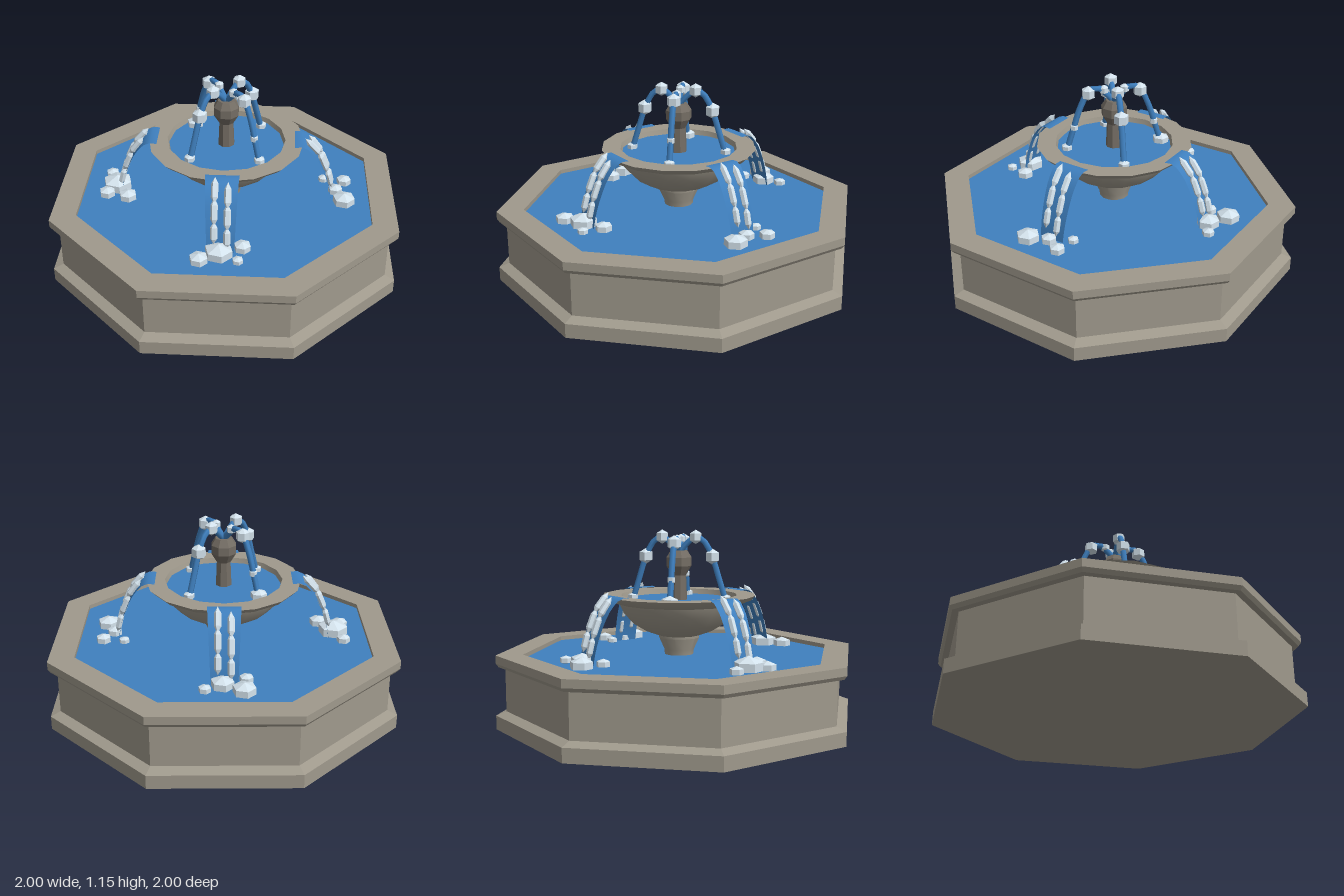
import * as THREE from 'three';
import { toCreasedNormals } from 'three/addons/utils/BufferGeometryUtils.js';

const stone = new THREE.MeshStandardMaterial({ color: 0x9f998c, flatShading: true });
const smoothStone = new THREE.MeshStandardMaterial({ color: 0x9f998c });
const darkStone = new THREE.MeshStandardMaterial({ color: 0x746d64, flatShading: true });
const water = new THREE.MeshStandardMaterial({ color: 0x3f80bf });
const sheetWater = new THREE.MeshStandardMaterial({ color: 0x3f80bf, side: THREE.DoubleSide });
const foam = new THREE.MeshStandardMaterial({ color: 0xd3e2ec, flatShading: true });

const OCT = 1 / Math.cos(Math.PI / 8); // apothem to corner radius

function add(parent, name, geometry, material) {
  const mesh = new THREE.Mesh(geometry, material);
  mesh.name = name;
  parent.add(mesh);
  return mesh;
}

function lathe(points, sides, scale = 1, start = 0) {
  const profile = points.map(([r, y]) => new THREE.Vector2(r * scale, y));
  return new THREE.LatheGeometry(profile, sides, start);
}

function blob(parent, name, r, x, y, z, flat = 1) {
  const mesh = add(parent, name, new THREE.SphereGeometry(r, 6, 3), foam);
  mesh.position.set(x, y, z);
  mesh.scale.y = flat;
  return mesh;
}

// Curve in the local plane: z is the distance outwards, y is up
function outwardCurve(points) {
  return new THREE.CatmullRomCurve3(points.map(([r, y]) => new THREE.Vector3(0, y, r)));
}

// Arched water jet with drops along it
function jet(angle, drops, splashSize) {
  const group = new THREE.Group();
  group.name = 'waterJet';
  const path = outwardCurve([
    [0, 1.01], [0.04, 1.06], [0.1, 1.105], [0.15, 1.08], [0.2, 0.985], [0.24, 0.86], [0.28, 0.73],
  ]);
  add(group, 'jetStream', new THREE.TubeGeometry(path, 14, 0.018, 6), water);
  for (const [r, y, size] of drops) blob(group, 'jetDrop', size, 0, y, r);
  blob(group, 'bowlSplash', splashSize, 0, 0.745, 0.28, 0.75);
  group.rotation.y = angle;
  return group;
}

// Sheet of water spilling from the bowl, with foam streaks on it
function cascade(angle) {
  const group = new THREE.Group();
  group.name = 'cascade';
  const path = outwardCurve([
    [0.4, 0.772], [0.455, 0.772], [0.52, 0.71], [0.575, 0.6], [0.61, 0.49], [0.625, 0.405],
  ]);
  const sheet = new THREE.PlaneGeometry(1, 1, 1, 12);
  const pos = sheet.attributes.position;
  for (let i = 0; i < pos.count; i++) {
    const t = 0.5 - pos.getY(i);
    const p = path.getPointAt(t);
    pos.setXYZ(i, pos.getX(i) * (0.19 - 0.04 * t), p.y, p.z);
  }
  sheet.computeVertexNormals();
  add(group, 'waterSheet', sheet, sheetWater);

  const up = new THREE.Vector3(0, 1, 0);
  for (const side of [-1, 1]) {
    for (const [t, length] of [[0.27, 0.075], [0.52, 0.08], [0.77, 0.065]]) {
      const at = t + side * 0.03;
      const p = path.getPointAt(at);
      const streak = blob(group, 'foamStreak', 0.023, side * 0.036, p.y + 0.008, p.z + 0.01);
      streak.scale.y = length / 0.023;
      streak.quaternion.setFromUnitVectors(up, path.getTangentAt(at));
    }
  }
  group.rotation.y = angle;
  return group;
}

export function createModel() {
  const model = new THREE.Group();
  model.name = 'fountain';

  // Octagonal basin with plinth and overhanging rim
  add(model, 'basin', lathe([
    [0, 0], [1, 0], [1, 0.082], [0.945, 0.105], [0.945, 0.365], [0.98, 0.366],
    [0.995, 0.388], [0.995, 0.435], [0.85, 0.435], [0.85, 0.39],
  ], 8, OCT, Math.PI / 8), stone);
  add(model, 'basinWater', lathe([[0.855, 0.41], [0, 0.41]], 8, OCT, Math.PI / 8), water);

  // Pedestal and bowl
  add(model, 'pedestal', toCreasedNormals(lathe([
    [0.085, 0.4], [0.09, 0.44], [0.122, 0.51], [0.122, 0.54],
  ], 12), 0.6), smoothStone);
  add(model, 'bowl', toCreasedNormals(lathe([
    [0, 0.522], [0.12, 0.524], [0.2, 0.552], [0.27, 0.595], [0.33, 0.66], [0.355, 0.715],
    [0.425, 0.735], [0.455, 0.765], [0.345, 0.765], [0.33, 0.715],
  ], 16), 0.6), smoothStone);
  add(model, 'bowlWater', lathe([[0.338, 0.735], [0, 0.735]], 16), water);

  // Central nozzle
  add(model, 'nozzle', lathe([
    [0.05, 0.72], [0.043, 0.88], [0.076, 0.935], [0.076, 0.985], [0.05, 1.025], [0, 1.025],
  ], 8, 1, Math.PI / 8), darkStone);

  // Jets along the two axes
  const sideDrops = [[0.1, 1.105, 0.042], [0.2, 0.99, 0.047]];
  const frontDrops = [[0.06, 1.09, 0.03], [0.15, 1.075, 0.045], [0.235, 0.87, 0.026]];
  model.add(jet(Math.PI / 2, sideDrops, 0.036), jet(-Math.PI / 2, sideDrops, 0.036));
  model.add(jet(0, frontDrops, 0.036), jet(Math.PI, frontDrops, 0.055));

  // Cascades on the diagonals
  for (let i = 0; i < 4; i++) model.add(cascade(Math.PI / 4 + (i * Math.PI) / 2));

  // Foam where the cascades land: x, z, radius
  const splashes = [
    [-0.47, -0.46, 0.1], [-0.42, -0.58, 0.045], [-0.57, -0.43, 0.055], [-0.5, -0.32, 0.06],
    [0.43, -0.58, 0.075], [0.465, -0.45, 0.075], [0.33, -0.5, 0.045], [0.57, -0.42, 0.04],
    [-0.58, 0.42, 0.06], [-0.46, 0.45, 0.09], [-0.33, 0.5, 0.055], [-0.43, 0.57, 0.035],
    [0.42, 0.57, 0.075], [0.465, 0.46, 0.05], [0.575, 0.43, 0.05], [0.5, 0.33, 0.035],
  ];
  for (const [x, z, r] of splashes) blob(model, 'foamSplash', r, x, 0.425, z, 0.65);

  return model;
}
